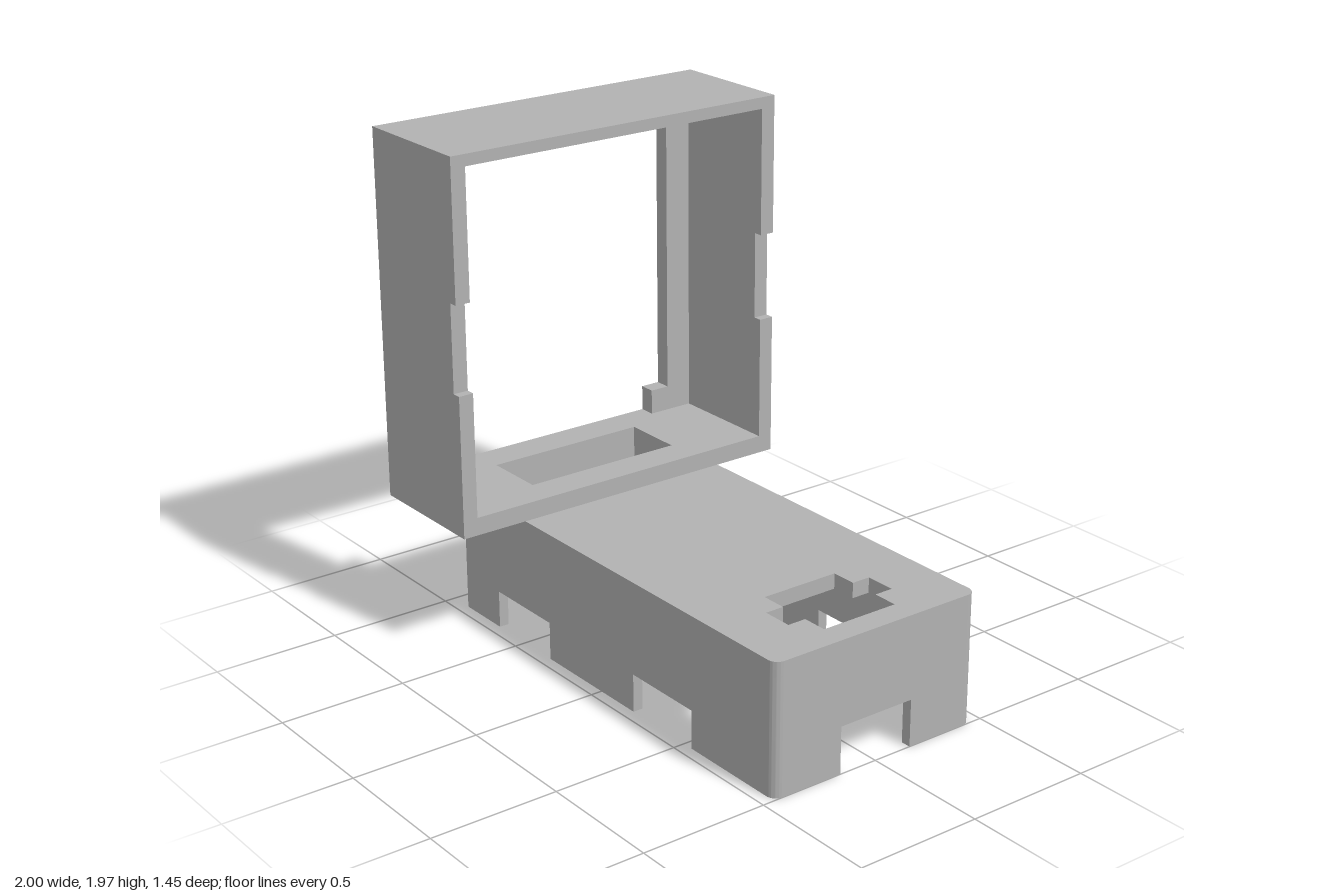
import * as THREE from 'three';
import { toCreasedNormals } from 'three/addons/utils/BufferGeometryUtils.js';

const grey = new THREE.MeshStandardMaterial({ color: 0xb2b2b2 });
grey.name = 'grey plastic';

const poly = (pts) => pts.map(([a, b]) => new THREE.Vector2(a, b));
const rect = (x0, x1, y0, y1) => poly([[x0, y0], [x1, y0], [x1, y1], [x0, y1]]);

function slab(shape, depth) {
  const g = new THREE.ExtrudeGeometry(shape, { depth, bevelEnabled: false, curveSegments: 24 });
  return toCreasedNormals(g, 0.6);
}

// Slab from an (x, y) outline, from z0 towards +z
function alongZ(shape, z0, depth) {
  return slab(shape, depth).translate(0, 0, z0);
}

// Slab from a (z, y) outline, from x0 towards +x
function alongX(shape, x0, depth) {
  return slab(shape, depth).rotateY(-Math.PI / 2).translate(x0 + depth, 0, 0);
}

// Slab from an (x, -z) outline, from y0 upwards
function alongY(shape, y0, depth) {
  return slab(shape, depth).rotateX(-Math.PI / 2).translate(0, y0, 0);
}

export function createModel() {
  const model = new THREE.Group();
  const add = (parent, name, geometry) => {
    const mesh = new THREE.Mesh(geometry, grey);
    mesh.name = name;
    parent.add(mesh);
  };

  const base = new THREE.Group();
  base.name = 'baseBox';
  const frame = new THREE.Group();
  frame.name = 'displayFrame';
  model.add(base, frame);

  const X0 = -0.93, X1 = 1, W = 0.455, T = 0.04; // base extents and wall
  const ceiling = 0.455, baseTop = 0.515;
  const pocket = () => new THREE.Path(rect(-0.86, -0.61, -0.33, 0.33));

  // Lid with rounded corners, cross-shaped opening and cable pocket
  const lid = new THREE.Shape();
  lid.absarc(X1 - T, W - T, T, 0, Math.PI / 2);
  lid.absarc(X0 + T, W - T, T, Math.PI / 2, Math.PI);
  lid.absarc(X0 + T, -W + T, T, Math.PI, Math.PI * 1.5);
  lid.absarc(X1 - T, -W + T, T, Math.PI * 1.5, Math.PI * 2);
  lid.holes.push(pocket(), new THREE.Path(poly([
    [0.58, -0.16], [0.68, -0.16], [0.68, -0.235], [0.8, -0.235], [0.8, -0.16], [0.9, -0.16],
    [0.9, 0.16], [0.8, 0.16], [0.8, 0.235], [0.68, 0.235], [0.68, 0.16], [0.58, 0.16],
  ])));
  add(base, 'baseLid', alongY(lid, ceiling, baseTop - ceiling));

  // Long walls with two notches each
  const longWall = new THREE.Shape(poly([
    [X0 + T, 0], [-0.675, 0], [-0.675, 0.15], [-0.33, 0.15], [-0.33, 0], [0.2, 0],
    [0.2, 0.15], [0.545, 0.15], [0.545, 0], [X1 - T, 0], [X1 - T, ceiling], [X0 + T, ceiling],
  ]));
  add(base, 'leftLongWall', alongZ(longWall, W - T, T));
  add(base, 'rightLongWall', alongZ(longWall, -W, T));

  // End walls, one with a cable notch
  const e = W - T;
  const notchedEnd = new THREE.Shape(poly([
    [-e, 0], [-0.16, 0], [-0.16, 0.185], [0.16, 0.185], [0.16, 0], [e, 0], [e, ceiling], [-e, ceiling],
  ]));
  add(base, 'notchedEndWall', alongX(notchedEnd, X1 - T, T));
  add(base, 'plainEndWall', alongX(new THREE.Shape(rect(-e, e, 0, ceiling)), X0, T));

  // Rounded wall corners and screw posts
  for (const sx of [-1, 1]) {
    for (const s of [-1, 1]) {
      const endX = sx > 0 ? X1 : X0;
      const start = sx > 0 ? (s > 0 ? 0 : 1.5) : (s > 0 ? 0.5 : 1);
      const cx = endX - sx * T, cy = s * (W - T);
      const corner = new THREE.Shape();
      corner.moveTo(cx, cy);
      corner.absarc(cx, cy, T, start * Math.PI, (start + 0.5) * Math.PI);
      add(base, 'wallCorner', alongY(corner, 0, ceiling));

      const px = endX - sx * 0.071, py = s * (W - 0.071);
      const post = new THREE.Shape().absarc(px, py, 0.07, 0, Math.PI * 2);
      post.holes.push(new THREE.Path().absarc(px, py, 0.022, 0, Math.PI * 2));
      add(base, 'screwPost', alongY(post, 0, 0.25));
    }
  }

  // Frame floor and roof
  const F0 = -1, F1 = -0.475, H = 0.725, inner = 0.665;
  const floorTop = 0.585, roofBottom = 1.92, top = 1.965;
  const floor = new THREE.Shape(rect(F0, F1, -H, H));
  floor.holes.push(pocket());
  add(frame, 'frameFloor', alongY(floor, baseTop, floorTop - baseTop));
  add(frame, 'frameRoof', alongY(new THREE.Shape(rect(F0, F1, -H, H)), roofBottom, top - roofBottom));

  // Frame sides with a shallow grip notch in the open edge
  const side = new THREE.Shape(poly([
    [F0, floorTop], [F1, floorTop], [F1, 1.075], [-0.51, 1.075],
    [-0.51, 1.42], [F1, 1.42], [F1, roofBottom], [F0, roofBottom],
  ]));
  add(frame, 'leftFrameSide', alongZ(side, inner, H - inner));
  add(frame, 'rightFrameSide', alongZ(side, -H, H - inner));

  // Retaining lip around the window, with two tabs at the bottom corners
  const half = [[inner, roofBottom], [inner, floorTop], [0.475, floorTop], [0.475, 0.685], [0.555, 0.685], [0.555, 1.845]];
  const mirrored = half.map(([z, y]) => [-z, y]).reverse();
  add(frame, 'windowLip', alongX(new THREE.Shape(poly([...half, ...mirrored])), F0, 0.065));

  return model;
}
